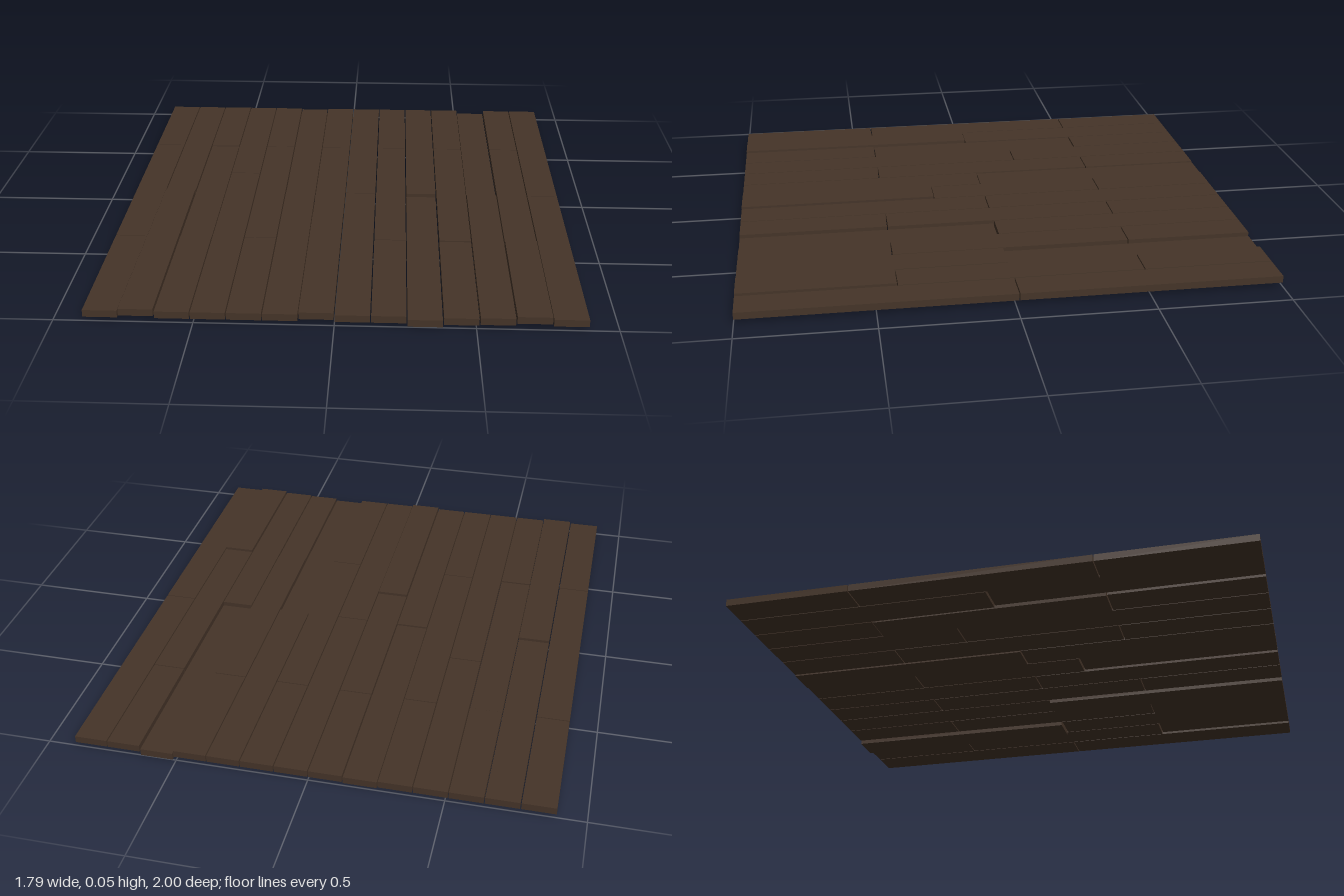
import * as THREE from 'three';

export function createModel() {
  const floor = new THREE.Group();
  floor.name = 'plankFloor';
  const wood = new THREE.MeshStandardMaterial({ color: 0x453428 });

  const columns = 14, pitch = 1.79 / columns, thickness = 0.027, gap = 0.004;
  const baseY = 0.0285;

  // Cross joints (z) of each column, from back to front
  const long = [-0.51, 0.415], half = [-0.015];
  const joints = [long, half, long, [-0.205], long, half, [-0.51, 0.2],
    half, long, half, long, half, long, half];

  // Planks that sit higher or lower than the rest, keyed by column and row
  const lift = {
    '1-1': 0.008, '6-2': 0.008, '12-2': 0.008,
    '9-1': -0.013, '11-0': -0.015,
    '2-1': -0.003, '5-0': -0.004, '10-2': -0.003,
  };

  for (let c = 0; c < columns; c++) {
    const x = (c - (columns - 1) / 2) * pitch;
    const width = pitch - gap;
    const cuts = [-1 - gap / 2, ...joints[c], 1 + gap / 2];
    for (let r = 0; r < cuts.length - 1; r++) {
      const z0 = cuts[r] + gap / 2, z1 = cuts[r + 1] - gap / 2;
      const plank = new THREE.Mesh(new THREE.BoxGeometry(width, thickness, z1 - z0), wood);
      plank.name = `plank${c + 1}row${r + 1}`;
      plank.position.set(x, baseY + (lift[`${c}-${r}`] ?? 0), (z0 + z1) / 2);
      floor.add(plank);
    }
  }
  return floor;
}
